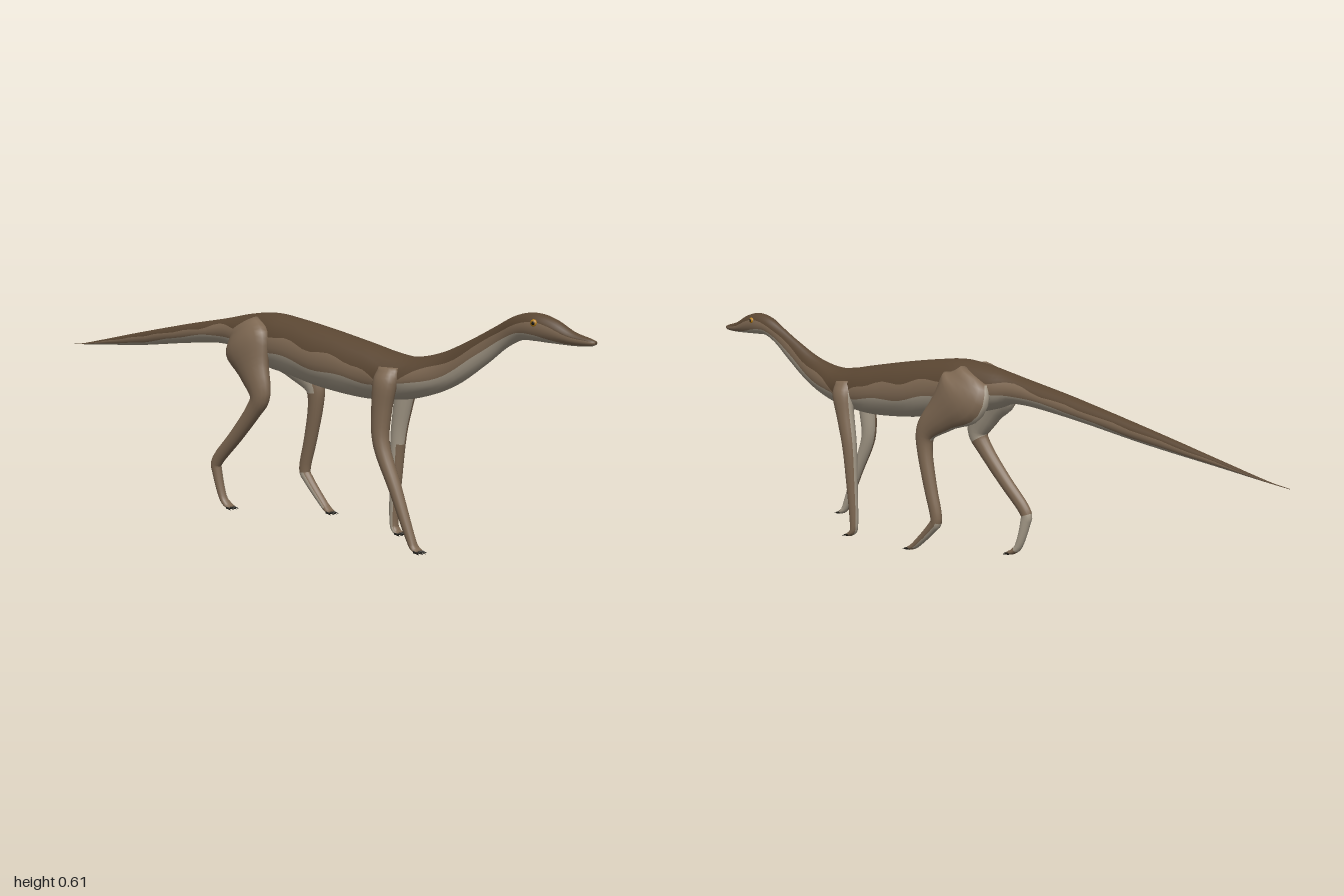
import * as THREE from 'three';

const { smoothstep } = THREE.MathUtils;
const mat = (name, color) => {
  const m = new THREE.MeshStandardMaterial({ color });
  m.name = name;
  return m;
};

// Smooth skin through rings [x, y, z, halfWidth, halfDepth].
// anglesAt(z) gives the ring angles; skinAt(fraction, angle, index) picks a material index.
function loft(name, sections, steps, anglesAt, skinAt, materials) {
  const curve = (pick) => new THREE.CatmullRomCurve3(
    sections.map((s) => new THREE.Vector3(...pick(s))), false, 'catmullrom', 0.5);
  const path = curve((s) => s.slice(0, 3)), size = curve((s) => [s[3], s[4], 0]);
  const rings = (sections.length - 1) * steps;
  const pos = [], faces = materials.map(() => []);
  const n = anglesAt(0).length;
  for (let i = 0; i <= rings; i++) {
    const t = i / rings, c = path.getPoint(t), s = size.getPoint(t);
    const dir = path.getPoint(Math.min(1, t + 0.01)).sub(path.getPoint(Math.max(0, t - 0.01)));
    const len = Math.hypot(dir.y, dir.z);
    anglesAt(c.z).forEach((q, j) => {
      const up = Math.cos(q) * Math.max(s.y, 0.0006);
      pos.push(c.x + Math.sin(q) * Math.max(s.x, 0.0006), c.y - (dir.z / len) * up, c.z + (dir.y / len) * up);
      if (i === rings) return;
      const k = (j + 1) % n, a = i * n + j, b = i * n + k;
      faces[skinAt(t, q, j)].push(a, b, a + n, b, b + n, a + n);
    });
  }
  // End caps
  const base = pos.length / 3, end = rings * n;
  pos.push(...sections[0].slice(0, 3), ...sections[sections.length - 1].slice(0, 3));
  for (let j = 0; j < n; j++) {
    const k = (j + 1) % n;
    faces[0].push(base, k, j, base + 1, end + j, end + k);
  }
  const geo = new THREE.BufferGeometry();
  geo.setAttribute('position', new THREE.Float32BufferAttribute(pos, 3));
  geo.setIndex(faces.flat());
  let start = 0;
  faces.forEach((f, m) => {
    geo.addGroup(start, f.length, m);
    start += f.length;
  });
  geo.computeVertexNormals();
  const mesh = new THREE.Mesh(geo, materials);
  mesh.name = name;
  return mesh;
}

// Ring angles that follow the wavy colour borders: 5 back, 3 flank and 5 belly faces on each side
function bandAngles(z) {
  const bump = (at, width) => Math.exp(-(((z - at) / width) ** 2));
  const a = 0.39 + 0.2 * bump(0.44, 0.05) - 0.09 * bump(-0.18, 0.06) + 0.025 * Math.sin(z * 42);
  const b = Math.max(a + 0.03, 0.58 + 0.2 * smoothstep(z, 0.75, 0.95)
    + 0.11 * smoothstep(-z, 0.3, 0.6) + 0.02 * Math.sin(z * 33 + 1));
  const half = [];
  for (let j = 0; j <= 13; j++) {
    if (j < 5) half.push((a * j) / 5);
    else if (j < 8) half.push(a + ((b - a) * (j - 5)) / 3);
    else half.push(b + ((1 - b) * (j - 8)) / 5);
  }
  return [...half, ...half.slice(1, -1).reverse().map((q) => 2 - q)].map((q) => q * Math.PI);
}

function bandSkin(t, q, j) {
  const side = j < 13 ? j : 25 - j;
  return side < 5 ? 0 : side < 8 ? 1 : 2;
}

export function createModel() {
  const model = new THREE.Group();
  model.name = 'longNeckedReptile';
  const back = mat('darkBrownBack', 0x5a4632);
  const flank = mat('brownFlank', 0x7e6852);
  const belly = mat('paleBelly', 0xa89d8b);
  const claw = mat('blackClaw', 0x1c1a14);
  const amber = mat('amberEye', 0xb8801a);

  // Head, neck, trunk and tail: z, top, bottom, halfWidth; the tail swings to its left
  const spine = [
    [1, 0.559, 0.551, 0.005], [0.985, 0.564, 0.546, 0.011], [0.94, 0.576, 0.544, 0.017],
    [0.89, 0.6, 0.545, 0.023], [0.845, 0.611, 0.547, 0.026], [0.8, 0.603, 0.545, 0.023],
    [0.75, 0.577, 0.52, 0.018], [0.69, 0.545, 0.475, 0.02], [0.6, 0.503, 0.416, 0.03],
    [0.51, 0.482, 0.382, 0.049], [0.43, 0.487, 0.367, 0.061], [0.34, 0.504, 0.362, 0.067],
    [0.2, 0.53, 0.374, 0.07], [0.08, 0.549, 0.396, 0.067], [0, 0.557, 0.408, 0.063],
    [-0.1, 0.545, 0.435, 0.05], [-0.18, 0.528, 0.457, 0.038], [-0.35, 0.5, 0.445, 0.03],
    [-0.6, 0.455, 0.416, 0.018], [-0.8, 0.417, 0.399, 0.009], [-0.94, 0.391, 0.387, 0.002],
    [-1, 0.384, 0.383, 0.0006],
  ].map(([z, top, low, w]) =>
    [0.08 * Math.max(0, (-z - 0.2) / 0.8) ** 1.2, (top + low) / 2, z, w, (top - low) / 2]);
  model.add(loft('body', spine, 5, bandAngles, bandSkin, [back, flank, belly]));

  // Girth down a leg: distance from the middle, halfWidth, halfDepth
  const frontGirth = [
    [0.045, 0.016, 0.03], [0.058, 0.024, 0.034], [0.061, 0.023, 0.028], [0.065, 0.02, 0.022],
    [0.066, 0.016, 0.017], [0.066, 0.012, 0.012], [0.065, 0.014, 0.008], [0.065, 0.013, 0.005],
  ];
  const hindGirth = [
    [0.045, 0.022, 0.05], [0.061, 0.034, 0.085], [0.068, 0.03, 0.055], [0.074, 0.023, 0.034],
    [0.076, 0.019, 0.024], [0.079, 0.016, 0.02], [0.08, 0.014, 0.018], [0.079, 0.013, 0.015],
    [0.077, 0.012, 0.011], [0.075, 0.014, 0.008], [0.074, 0.013, 0.005],
  ];
  const round = Array.from({ length: 16 }, (_, j) => (j / 16) * Math.PI * 2);
  const clawGeometry = new THREE.ConeGeometry(0.0042, 0.022, 8).rotateX(Math.PI / 2 + 0.2);

  // One leg along [y, z] joints, ending in a fan of claws; paleAt marks the pale skin
  function addLeg(name, side, girth, joints, paleAt) {
    const sections = joints.map(([y, z], i) => [side * girth[i][0], y, z, girth[i][1], girth[i][2]]);
    const skin = (t, q) => (paleAt(t, -Math.sin(q) * side, Math.cos(q)) ? 1 : 0);
    const leg = new THREE.Group();
    leg.name = name;
    leg.add(loft(name + 'Skin', sections, 4, () => round, skin, [flank, belly]));
    const [x, y, z] = sections[sections.length - 1];
    for (const f of [-1, -0.33, 0.33, 1]) {
      const c = new THREE.Mesh(clawGeometry, claw);
      c.name = 'claw';
      c.position.set(x + f * 0.013, y - 0.002, z + 0.008 - Math.abs(f) * 0.005);
      c.rotation.y = f * 0.25;
      leg.add(c);
    }
    model.add(leg);
  }
  const innerRear = (t, inner, rear) => inner + rear * 0.6 > 0.4;
  const upperArm = (t, inner, rear) => (t < 0.43 ? inner > -0.3 : innerRear(t, inner, rear));
  const thighAndFoot = (t, inner, rear) =>
    (t < 0.35 ? innerRear(t, inner, rear) : t > 0.62 && t < 0.85 && inner + rear > 0);

  addLeg('leftFrontLeg', 1, frontGirth, [[0.455, 0.43], [0.42, 0.425], [0.36, 0.412], [0.27, 0.393],
    [0.16, 0.385], [0.04, 0.38], [0.014, 0.39], [0.009, 0.402]], upperArm);
  addLeg('rightFrontLeg', -1, frontGirth, [[0.455, 0.45], [0.42, 0.45], [0.35, 0.443], [0.265, 0.447],
    [0.16, 0.495], [0.05, 0.543], [0.024, 0.558], [0.018, 0.572]], innerRear);
  addLeg('leftHindLeg', 1, hindGirth, [[0.525, -0.06], [0.475, -0.035], [0.42, 0.025], [0.365, 0.083],
    [0.31, 0.09], [0.21, 0.068], [0.125, 0.046], [0.095, 0.062], [0.04, 0.118], [0.024, 0.14],
    [0.02, 0.152]], thighAndFoot);
  addLeg('rightHindLeg', -1, hindGirth, [[0.525, -0.06], [0.475, -0.035], [0.41, -0.002], [0.345, 0.028],
    [0.3, 0.006], [0.22, -0.062], [0.145, -0.134], [0.11, -0.137], [0.045, -0.118], [0.024, -0.1],
    [0.018, -0.085]], thighAndFoot);

  // Eyes
  for (const s of [-1, 1]) {
    const eye = new THREE.Mesh(new THREE.SphereGeometry(0.0085, 16, 12), amber);
    eye.name = 'eye';
    eye.scale.x = 0.6;
    eye.position.set(s * 0.0235, 0.59, 0.853);
    const pupil = new THREE.Mesh(new THREE.SphereGeometry(0.0045, 12, 8), claw);
    pupil.name = 'pupil';
    pupil.scale.x = 0.5;
    pupil.position.set(s * 0.0272, 0.59, 0.854);
    model.add(eye, pupil);
  }
  return model;
}
